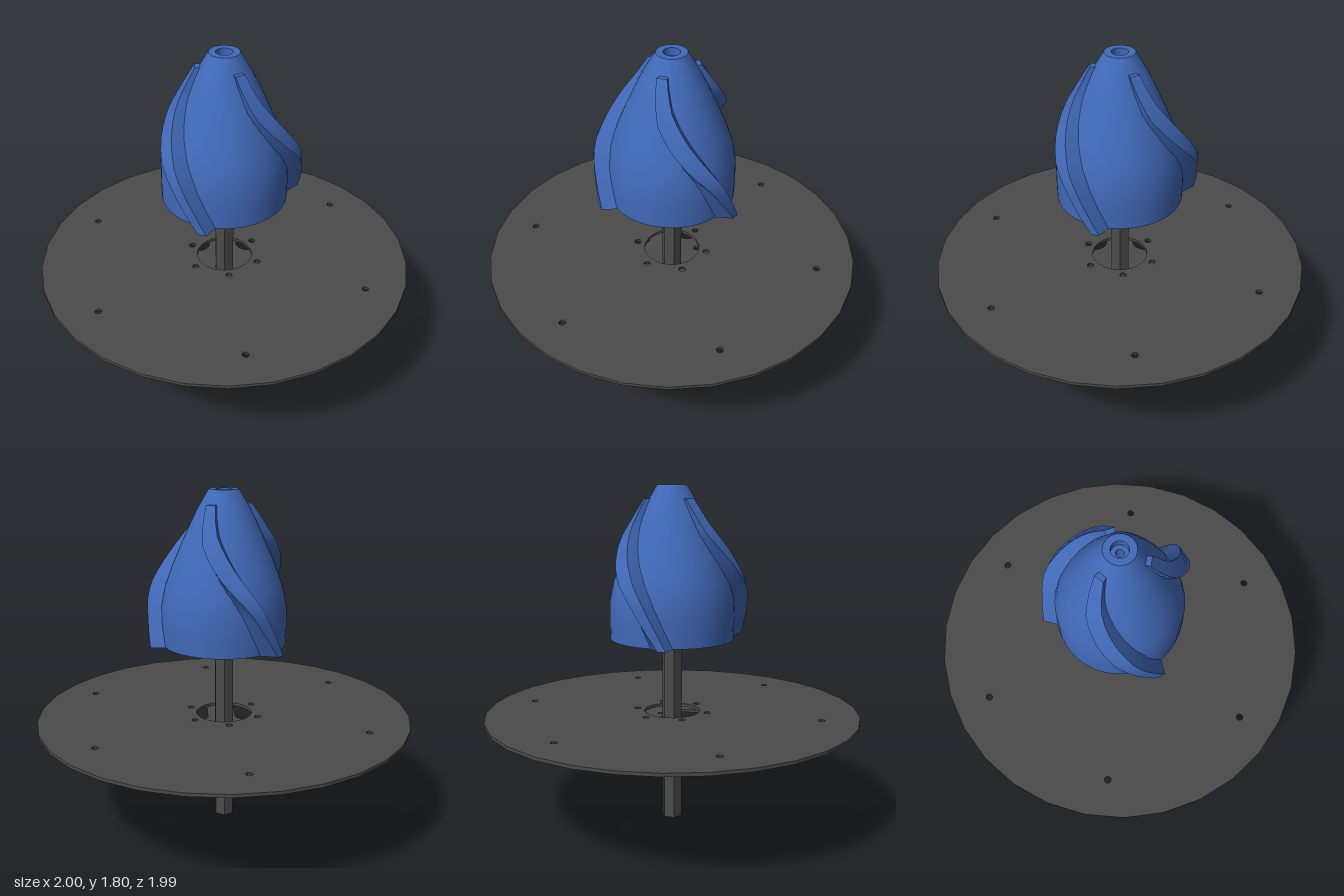
import * as THREE from 'three';
import { toCreasedNormals } from 'three/addons/utils/BufferGeometryUtils.js';

const RAD = Math.PI / 180;

// Angles are degrees from +x towards +z
const at = (r, deg) => new THREE.Vector2(r * Math.cos(deg * RAD), r * Math.sin(deg * RAD));

function ring(r, sides, startDeg = 0) {
  return Array.from({ length: sides }, (_, i) => at(r, startDeg + (i * 360) / sides));
}

// Round hole, optionally away from the centre
function hole(r, dist = 0, deg = 0, sides = 10) {
  const c = at(dist, deg);
  return new THREE.Path(ring(r, sides).map((p) => p.add(c)));
}

// Flat extrusion lying in the xz plane from y0 to y1
function plate(shape, y0, y1) {
  const g = new THREE.ExtrudeGeometry(shape, { depth: y1 - y0, bevelEnabled: false, curveSegments: 4 });
  return g.rotateX(Math.PI / 2).translate(0, y1, 0);
}

// Closed path with rounded corners
function roundedPath(pts, r) {
  const path = new THREE.Path();
  pts.forEach((p, i) => {
    const prev = pts[(i + pts.length - 1) % pts.length];
    const next = pts[(i + 1) % pts.length];
    const a = p.clone().add(prev.clone().sub(p).setLength(r));
    const b = p.clone().add(next.clone().sub(p).setLength(r));
    if (i === 0) path.moveTo(a.x, a.y);
    else path.lineTo(a.x, a.y);
    path.quadraticCurveTo(p.x, p.y, b.x, b.y);
  });
  path.closePath();
  return path;
}

// Piecewise linear lookup in [[y, value], ...]
function lookup(table, y) {
  for (let i = 1; i < table.length; i++) {
    const [y0, v0] = table[i - 1];
    const [y1, v1] = table[i];
    if (y <= y1) return v0 + ((v1 - v0) * (y - y0)) / (y1 - y0);
  }
  return table[table.length - 1][1];
}

// Hub radius by height
const HUB = [[1, 0.328], [1.1, 0.33], [1.2, 0.328], [1.3, 0.308], [1.4, 0.272], [1.5, 0.23],
  [1.6, 0.185], [1.7, 0.136], [1.8, 0.077]];
// Vane outer radius and the twist of its four corners by height
const TIP = [[1, 0.4], [1.25, 0.4], [1.32, 0.382], [1.42, 0.335], [1.52, 0.28], [1.62, 0.215], [1.73, 0.145]];
const LEAD = [[1, 0], [1.25, 19], [1.36, 30], [1.485, 44], [1.6, 57], [1.73, 65]];
const TRAIL = [[1, 6], [1.25, 30], [1.42, 54], [1.55, 72], [1.73, 86]];

function vaneGeometry(startDeg) {
  const rows = 16;
  const pos = [];
  const index = [];
  for (let i = 0; i <= rows; i++) {
    const t = i / rows;
    const y = 1 + 0.73 * t;
    const lead = startDeg + lookup(LEAD, y);
    const trail = startDeg + lookup(TRAIL, y);
    const inner = lookup(HUB, y) - 0.02;
    const tip = lookup(TIP, y);
    const flare = 1 - t;
    const section = [at(inner, lead - 7 * flare), at(tip, lead), at(tip, trail), at(inner, trail + 12 * flare)];
    section.forEach((p) => pos.push(p.x, y, p.y));
  }
  for (let i = 0; i < rows; i++) {
    for (let k = 0; k < 4; k++) {
      const a = i * 4 + k;
      const b = i * 4 + ((k + 1) % 4);
      index.push(a, a + 4, b + 4, a, b + 4, b);
    }
  }
  const e = rows * 4;
  index.push(0, 1, 2, 0, 2, 3, e, e + 2, e + 1, e, e + 3, e + 2);
  const g = new THREE.BufferGeometry();
  g.setAttribute('position', new THREE.Float32BufferAttribute(pos, 3));
  g.setIndex(index);
  return toCreasedNormals(g, 0.6);
}

export function createModel() {
  const model = new THREE.Group();
  const blue = new THREE.MeshStandardMaterial({ name: 'blue', color: 0x4169b8 });
  const grey = new THREE.MeshStandardMaterial({ name: 'dark grey', color: 0x4b4b4b });
  const add = (name, geometry, material, parent = model) => {
    const mesh = new THREE.Mesh(geometry, material);
    mesh.name = name;
    parent.add(mesh);
  };

  // Hexagonal shaft with a bore
  const hex = new THREE.Shape(ring(0.055, 6, 11));
  hex.holes.push(hole(0.019, 0, 0, 12));
  add('hexShaft', plate(hex, 0, 1), grey);

  // Large disc with a centre opening and two rings of bolt holes
  const disc = new THREE.Shape(ring(1, 30));
  disc.holes.push(hole(0.15, 0, 0, 24));
  for (let i = 0; i < 6; i++) {
    disc.holes.push(hole(0.018, 0.195, 6 + i * 60), hole(0.018, 0.803, 6 + i * 60));
  }
  add('largeDisc', plate(disc, 0.582, 0.599), grey);

  // Toothed wheel with six rounded pockets and bolt holes on the spokes
  const outline = [];
  const teeth = 64;
  for (let i = 0; i < teeth; i++) {
    [[0.56, 0], [0.562, 0.25], [0.587, 0.5], [0.587, 0.62], [0.562, 0.87]].forEach(([r, f]) =>
      outline.push(at(r, ((i + f) * 360) / teeth)));
  }
  const wheel = new THREE.Shape(outline);
  wheel.holes.push(new THREE.Path(ring(0.053, 6, 11)));
  for (let i = 0; i < 6; i++) {
    const pocket = 41 + i * 60;
    const spoke = 11 + i * 60;
    wheel.holes.push(roundedPath([at(0.23, pocket - 10), at(0.45, pocket - 20), at(0.465, pocket),
      at(0.45, pocket + 20), at(0.23, pocket + 10)], 0.035));
    wheel.holes.push(hole(0.016, 0.19, spoke), hole(0.016, 0.29, spoke), hole(0.016, 0.375, spoke));
  }
  add('toothedWheel', plate(wheel, 0.463, 0.479), grey);

  // Tapered hub with a bore and a countersunk top
  const profile = [[0.019, 1], ...HUB.map(([y, r]) => [r, y]), [0.042, 1.8], [0.042, 1.76], [0.019, 1.76], [0.019, 1]];
  const hub = new THREE.LatheGeometry(profile.map(([r, y]) => new THREE.Vector2(r, y)), 48);
  const impeller = new THREE.Group();
  impeller.name = 'impeller';
  model.add(impeller);
  add('hub', toCreasedNormals(hub, 0.6), blue, impeller);

  // Three twisted vanes
  for (let i = 0; i < 3; i++) add('vane' + (i + 1), vaneGeometry(26 + i * 120), blue, impeller);

  return model;
}
